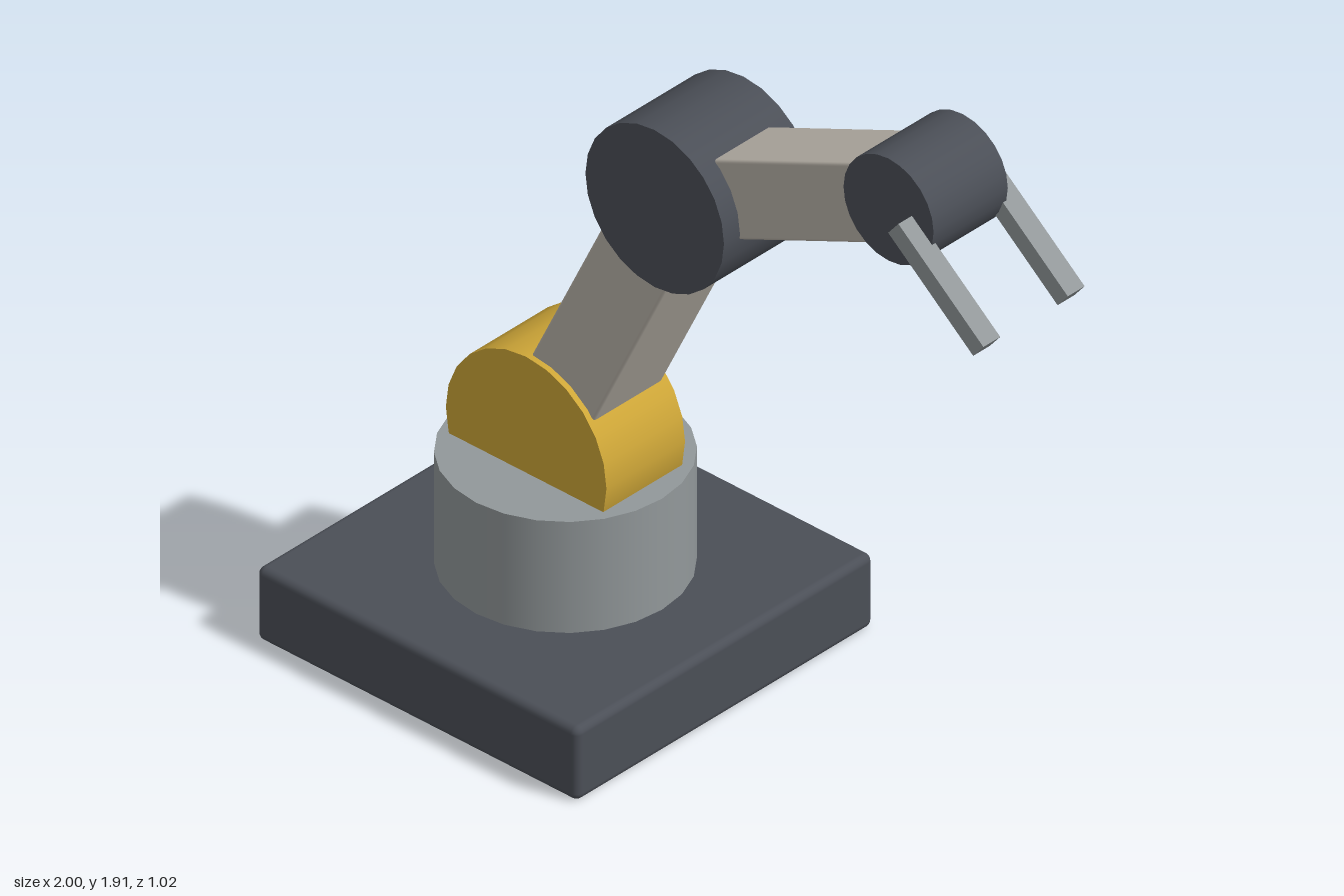
import * as THREE from 'three';
import { RoundedBoxGeometry } from 'three/addons/geometries/RoundedBoxGeometry.js';

const material = (name, color) => {
  const m = new THREE.MeshStandardMaterial({ color });
  m.name = name;
  return m;
};

export function createModel() {
  const model = new THREE.Group();
  model.name = 'robotArm';

  const darkGrey = material('dark grey', 0x4b4f57);
  const steel = material('steel grey', 0x92989a);
  const yellow = material('yellow', 0xcfa738);
  const beige = material('warm grey', 0xb9b3a9);

  // Joint centres in the plane of the arm
  const shoulder = new THREE.Vector2(-0.488, 0.585);
  const elbow = new THREE.Vector2(-0.063, 1.456);
  const wrist = new THREE.Vector2(0.656, 1.766);

  function add(name, geometry, mat, x, y, z = 0) {
    const mesh = new THREE.Mesh(geometry, mat);
    mesh.name = name;
    mesh.position.set(x, y, z);
    model.add(mesh);
    return mesh;
  }

  // Drum lying along z
  function joint(name, centre, radius, depth, mat) {
    const drum = new THREE.CylinderGeometry(radius, radius, depth, 24).rotateX(Math.PI / 2);
    return add(name, drum, mat, centre.x, centre.y);
  }

  // Beam between two joints
  function link(name, a, b, height, depth) {
    const beam = new RoundedBoxGeometry(a.distanceTo(b), height, depth, 2, 0.008);
    const mesh = add(name, beam, beige, (a.x + b.x) / 2, (a.y + b.y) / 2);
    mesh.rotation.z = Math.atan2(b.y - a.y, b.x - a.x);
    return mesh;
  }

  // Base plate and turntable
  add('basePlate', new RoundedBoxGeometry(1.02, 0.204, 1.02, 3, 0.02), darkGrey, -0.49, 0.102);
  add('turntable', new THREE.CylinderGeometry(0.307, 0.307, 0.32, 24), steel, shoulder.x, 0.355);

  // Arm
  joint('shoulderJoint', shoulder, 0.255, 0.27, yellow);
  link('upperArm', shoulder, elbow, 0.22, 0.238);
  joint('elbowJoint', elbow, 0.22, 0.306, darkGrey);
  link('forearm', elbow, wrist, 0.204, 0.196);
  joint('wristJoint', wrist, 0.143, 0.255, darkGrey);

  // Gripper fingers, one on each side of the wrist
  for (const side of [-1, 1]) {
    const finger = add(side > 0 ? 'frontFinger' : 'backFinger',
      new THREE.BoxGeometry(0.35, 0.051, 0.058), steel, 0.849, 1.651, side * 0.145);
    finger.rotation.z = -0.69;
  }

  return model;
}
